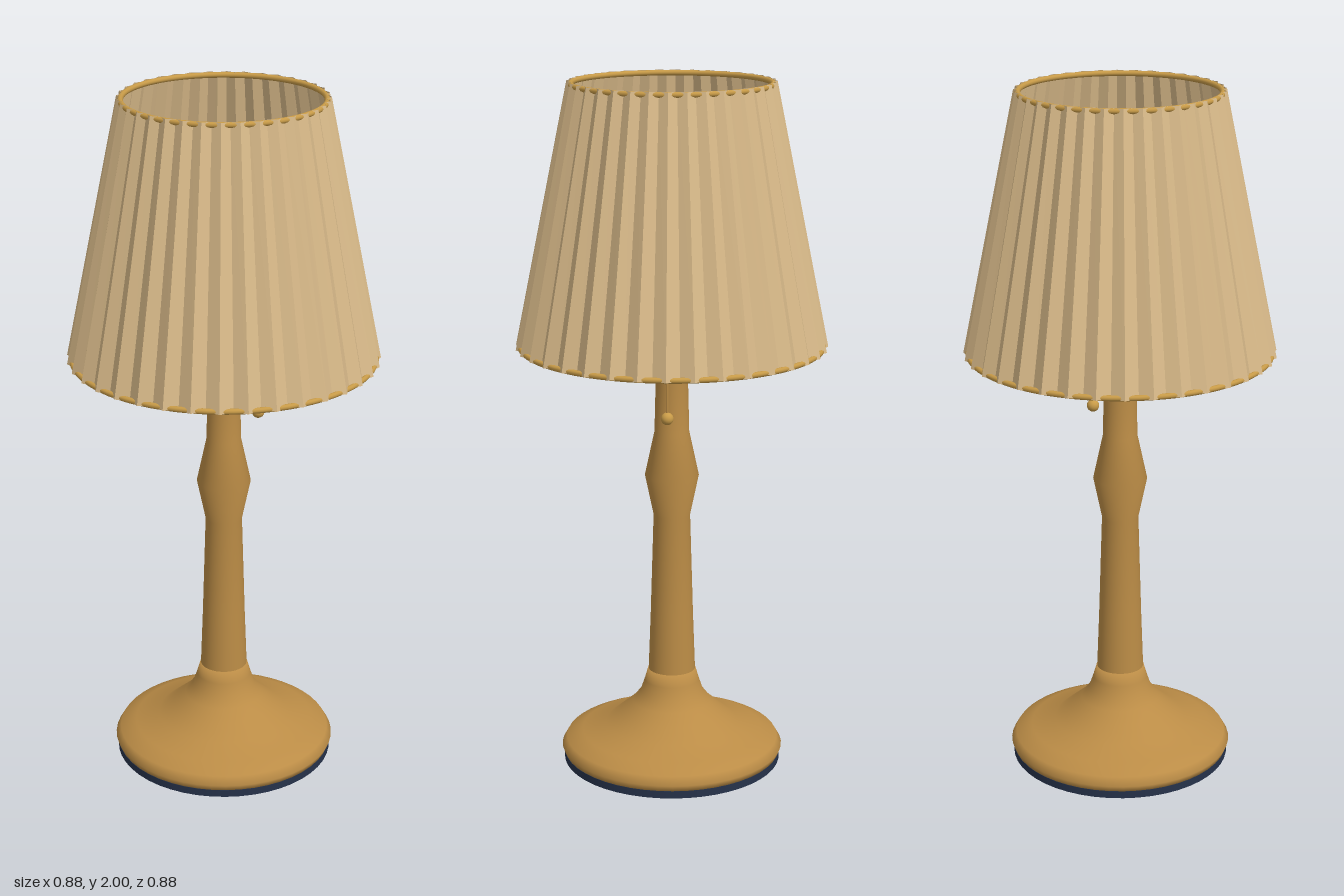
import * as THREE from 'three';

const material = (name, color, extra = {}) => {
  const m = new THREE.MeshStandardMaterial({ color, ...extra });
  m.name = name;
  return m;
};

// Pleated cone: zigzag ring at the bottom joined to a zigzag ring at the top
function pleatedCone(pleats, bottom, top) {
  const count = pleats * 2;
  const point = (i, ring) => {
    const a = (i / count) * Math.PI * 2;
    const r = i % 2 ? ring.peak : ring.valley;
    return [Math.cos(a) * r, ring.y, Math.sin(a) * r];
  };
  const positions = [];
  for (let i = 0; i < count; i++) {
    const a = point(i, bottom), b = point(i + 1, bottom);
    const c = point(i + 1, top), d = point(i, top);
    positions.push(...a, ...d, ...c, ...a, ...c, ...b);
  }
  const geometry = new THREE.BufferGeometry();
  geometry.setAttribute('position', new THREE.Float32BufferAttribute(positions, 3));
  geometry.computeVertexNormals();
  return geometry;
}

const lathe = (points) =>
  new THREE.LatheGeometry(points.map(([r, y]) => new THREE.Vector2(r, y)), 48);

export function createModel() {
  const lamp = new THREE.Group();
  lamp.name = 'tableLamp';

  const gold = material('agedGold', 0xbb8c46);
  const trim = material('brightGold', 0xc89b48);
  const cloth = material('pleatedCloth', 0xdabb8a, { flatShading: true, side: THREE.DoubleSide });
  const glass = material('bulbGlass', 0xddb878);
  const dark = material('darkFelt', 0x26324a);

  const add = (name, geometry, mat, x = 0, y = 0, z = 0) => {
    const mesh = new THREE.Mesh(geometry, mat);
    mesh.name = name;
    mesh.position.set(x, y, z);
    lamp.add(mesh);
    return mesh;
  };

  // Foot
  add('basePad', new THREE.CylinderGeometry(0.32, 0.32, 0.022, 48), dark, 0, 0.011);
  add('base', lathe([
    [0, 0.02], [0.318, 0.02], [0.326, 0.04], [0.312, 0.064], [0.265, 0.085],
    [0.195, 0.107], [0.15, 0.145], [0.115, 0.175], [0.092, 0.205], [0.08, 0.24], [0.07, 0.275], [0, 0.275],
  ]), gold);

  // Turned column with a swelling and a flared collar
  add('column', lathe([
    [0.069, 0.26], [0.062, 0.45], [0.053, 0.75], [0.078, 0.87], [0.05, 1.0],
    [0.045, 1.2], [0.062, 1.24], [0.062, 1.265], [0.045, 1.295], [0, 1.3],
  ]), gold);

  // Socket and bulb
  add('socket', new THREE.CylinderGeometry(0.026, 0.026, 0.1, 24), dark, 0, 1.335);
  add('bulb', new THREE.SphereGeometry(0.087, 32, 24), glass, 0, 1.445);

  // Pull chain
  const chainPath = new THREE.CatmullRomCurve3([
    [0.02, 1.335], [0.06, 1.335], [0.098, 1.326], [0.108, 1.3], [0.108, 1.18], [0.108, 1.07],
  ].map(([x, y]) => new THREE.Vector3(x, y, 0)));
  add('pullChain', new THREE.TubeGeometry(chainPath, 32, 0.004, 8), gold);
  add('pullKnob', new THREE.SphereGeometry(0.018, 20, 14), trim, 0.108, 1.065);

  // Shade with a ring at each end
  add('shade', pleatedCone(36,
    { y: 1.252, peak: 0.444, valley: 0.425 },
    { y: 2, peak: 0.291, valley: 0.279 }), cloth);
  for (const [name, radius, y] of [['shadeTopRing', 0.28, 1.992], ['shadeBottomRing', 0.43, 1.256]]) {
    add(name, new THREE.TorusGeometry(radius, 0.008, 10, 72), trim, 0, y).rotation.x = Math.PI / 2;
  }

  return lamp;
}
